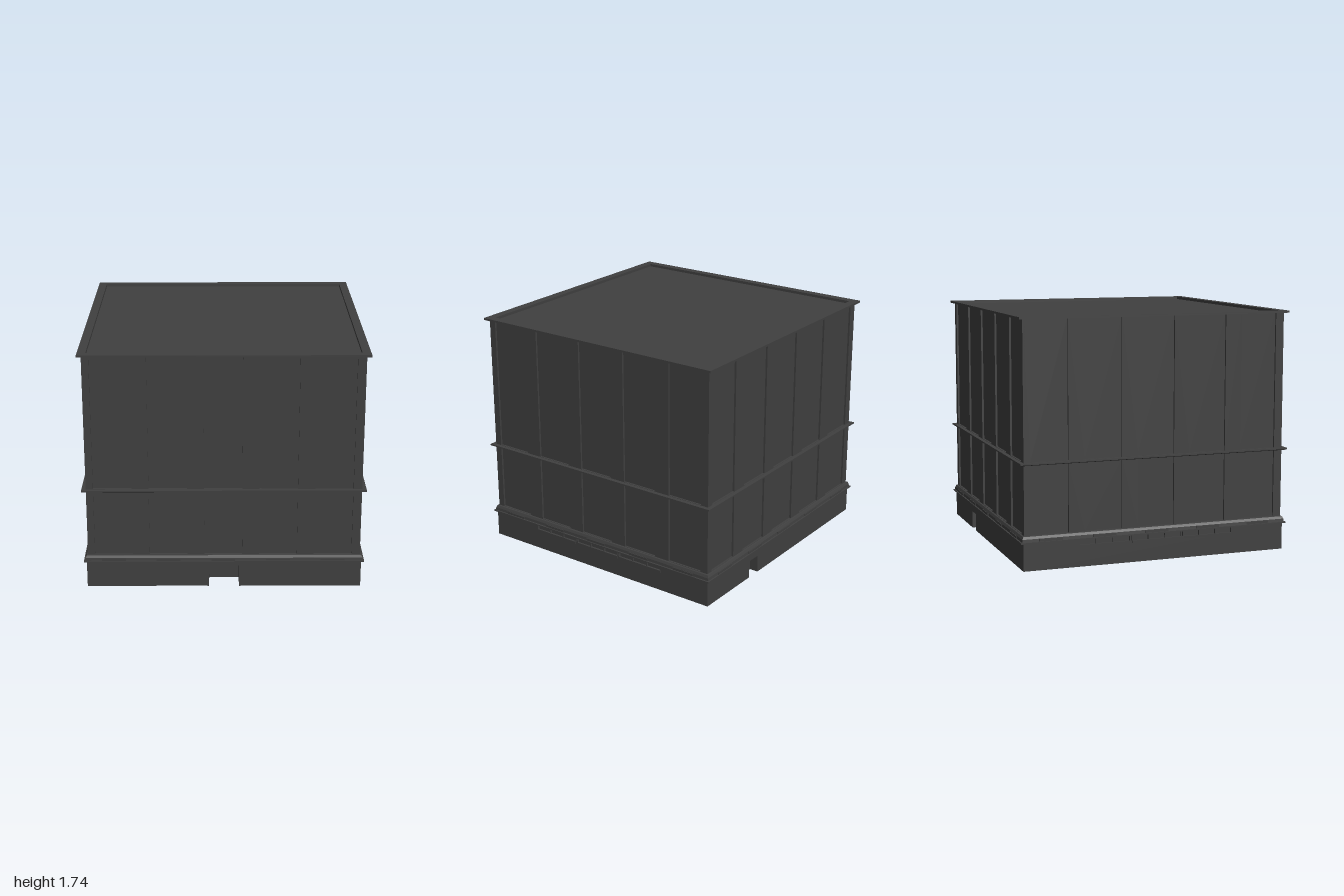
import * as THREE from 'three';

const mat = new THREE.MeshStandardMaterial({ color: 0x404040, side: THREE.DoubleSide, flatShading: true });

function add(parent, name, geo, x = 0, y = 0, z = 0) {
  const m = new THREE.Mesh(geo, mat);
  m.name = name;
  m.position.set(x, y, z);
  parent.add(m);
  return m;
}
const box = (p, name, w, h, d, x, y, z) => add(p, name, new THREE.BoxGeometry(w, h, d), x, y, z);

// A profile of (half width, height) points swept around the square plan
function squareRing(parent, name, pts) {
  const v = pts.map(([r, y]) => new THREE.Vector2(r * Math.SQRT2, y));
  add(parent, name, new THREE.LatheGeometry(v, 4, Math.PI / 4));
}

function rectPath(path, x0, y0, x1, y1) {
  path.moveTo(x0, y0);
  path.lineTo(x1, y0);
  path.lineTo(x1, y1);
  path.lineTo(x0, y1);
  path.closePath();
  return path;
}

const bays = [-0.785, -0.395, -0.005, 0.385, 0.775];

// Pilasters with five recessed bays, and the panels set behind them
function upperWall(side, y0, y1) {
  const shape = rectPath(new THREE.Shape(), -0.97, y0, 0.97, y1);
  for (const c of bays) shape.holes.push(rectPath(new THREE.Path(), c - 0.135, y0 + 0.002, c + 0.135, y1 - 0.002));
  add(side, 'pilasters', new THREE.ExtrudeGeometry(shape, { depth: 0.015, bevelEnabled: false }), 0, 0, 0.955);
  for (const c of bays)
    add(side, 'wallPanel', new THREE.PlaneGeometry(0.27, y1 - y0), c, (y0 + y1) / 2, 0.956);
}

// Base wall with an optional door notch and an optional window strip
function baseWall(side, door, windows) {
  const s = new THREE.Shape();
  s.moveTo(-0.98, 0);
  if (door) {
    s.lineTo(door.x - door.w / 2, 0);
    s.lineTo(door.x - door.w / 2, door.h);
    s.lineTo(door.x + door.w / 2, door.h);
    s.lineTo(door.x + door.w / 2, 0);
  }
  s.lineTo(0.98, 0);
  s.lineTo(0.98, 0.2);
  s.lineTo(-0.98, 0.2);
  s.closePath();
  if (windows) s.holes.push(rectPath(new THREE.Path(), -0.58, 0.155, 0.58, 0.19));
  add(side, 'baseWall', new THREE.ExtrudeGeometry(s, { depth: 0.008, bevelEnabled: false }), 0, 0, 0.972);
}

// Recess walls, back and frame of a doorway
function doorway(side, { x, w, h, d, frame }) {
  const zc = 0.975 - d / 2;
  for (const k of [-1, 1]) {
    add(side, 'doorReveal', new THREE.PlaneGeometry(d, h), x + k * w / 2, h / 2, zc).rotation.y = Math.PI / 2;
    if (frame) box(side, 'doorFrame', 0.013, h, 0.012, x + k * (w / 2 + 0.0065), h / 2, 0.977);
  }
  add(side, 'doorSoffit', new THREE.PlaneGeometry(w, d), x, h, zc).rotation.x = Math.PI / 2;
  add(side, 'door', new THREE.PlaneGeometry(w, h), x, h / 2, 0.975 - d);
  if (frame) box(side, 'doorFrame', w + 0.026, 0.013, 0.012, x, h + 0.0065, 0.977);
}

// Three groups of three panes, each group with its own sill
function windowStrip(side) {
  add(side, 'windowGlass', new THREE.PlaneGeometry(1.16, 0.04), 0, 0.172, 0.966);
  for (const g of [-1, 0, 1]) {
    box(side, 'windowSill', 0.375, 0.018, 0.014, g * 0.39, 0.146, 0.977);
    for (const k of [-1.5, -0.5, 0.5, 1.5])
      box(side, 'mullion', 0.008, 0.036, 0.014, g * 0.388 + k * 0.125, 0.172, 0.974);
  }
}

export function createModel() {
  const root = new THREE.Group();
  root.name = 'building';

  const sides = [
    { name: 'frontSide', turn: 0, door: { x: 0, w: 0.214, h: 0.16, d: 0.13, frame: true } },
    { name: 'rightSide', turn: Math.PI / 2, windows: true },
    { name: 'backSide', turn: Math.PI, door: { x: -0.395, w: 0.11, h: 0.13, d: 0.06 } },
    { name: 'leftSide', turn: -Math.PI / 2, windows: true },
  ];
  for (const { name, turn, door, windows } of sides) {
    const side = new THREE.Group();
    side.name = name;
    side.rotation.y = turn;
    root.add(side);
    upperWall(side, 0.245, 0.735);
    upperWall(side, 0.75, 1.727);
    baseWall(side, door, windows);
    if (door) doorway(side, door);
    if (windows) windowStrip(side);
    // Small raised blocks along the ledge
    for (const c of bays) box(side, 'ledgeBlock', 0.17, 0.018, 0.012, c, 0.214, 0.988);
  }

  // Horizontal mouldings and the sunken roof
  squareRing(root, 'ledge', [[0.972, 0.195], [1, 0.195], [1, 0.204], [0.99, 0.205], [0.988, 0.225], [0.98, 0.242], [0.955, 0.247]]);
  squareRing(root, 'beltCourse', [[0.955, 0.733], [0.985, 0.733], [1, 0.74], [1, 0.75], [0.955, 0.75]]);
  squareRing(root, 'corniceAndRoof', [[0.955, 1.725], [1, 1.725], [1, 1.74], [0.94, 1.74], [0.94, 1.72], [0, 1.72]]);
  return root;
}
